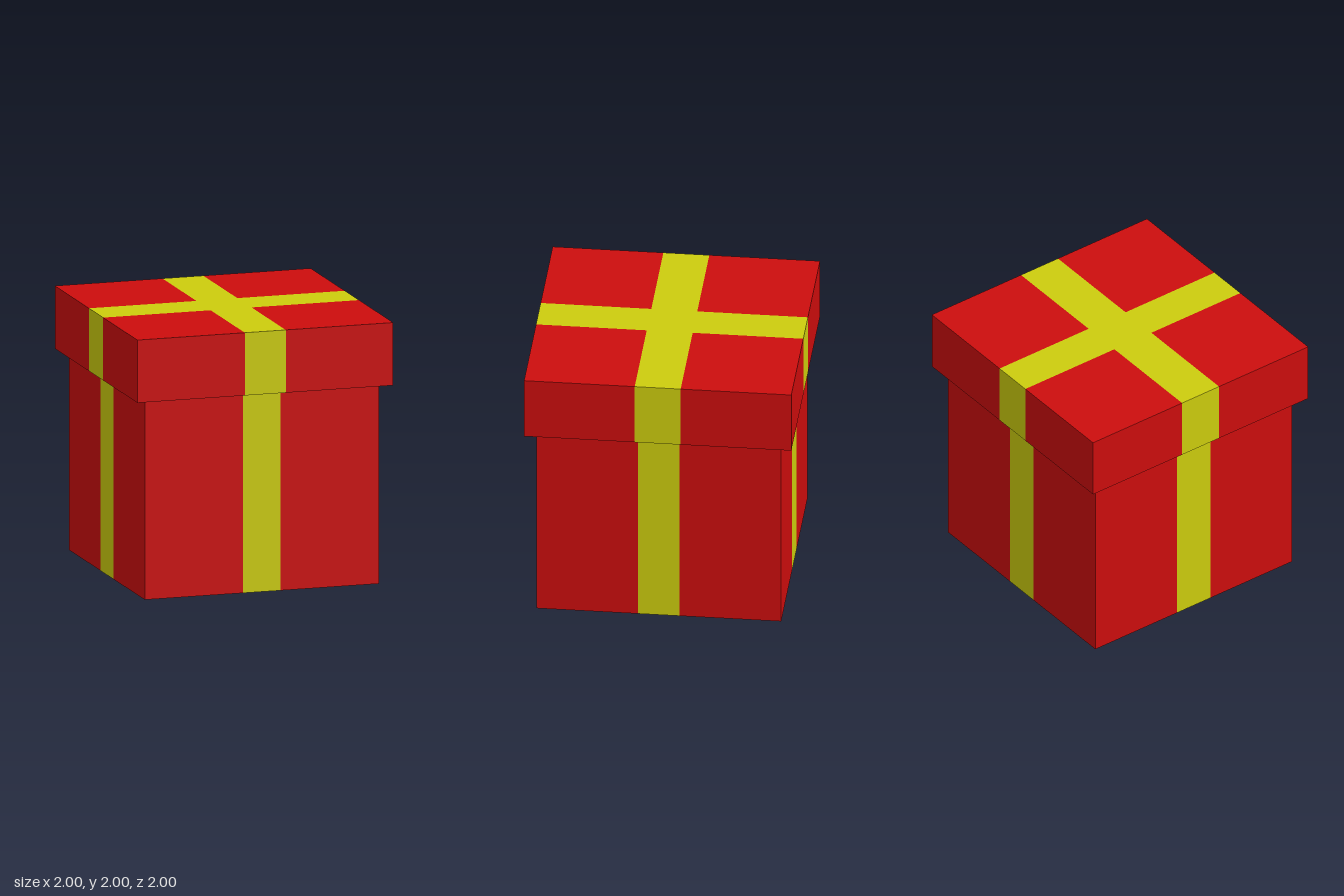
import * as THREE from 'three';

// Half size and half ribbon widths of each tier
const BOX = { half: 0.915, rx: 0.145, rz: 0.155 };
const LID = { half: 1, rx: 0.16, rz: 0.172 };
const RIM_Y = 1.522, TOP_Y = 2;

// Square outline, three points per side, so every middle segment is ribbon
function ring({ half: h, rx, rz }, y) {
  return [
    [-h, h], [-rx, h], [rx, h],
    [h, h], [h, rz], [h, -rz],
    [h, -h], [rx, -h], [-rx, -h],
    [-h, -h], [-h, -rz], [-h, rz],
  ].map(([x, z]) => [x, y, z]);
}

// Walls joining a lower outline to an upper one
function wall(lower, upper) {
  return lower.map((p, i) => {
    const n = (i + 1) % lower.length;
    return { ribbon: i % 3 === 1, corners: [p, lower[n], upper[n], upper[i]] };
  });
}

// Flat square face with a ribbon cross
function cap({ half: h, rx, rz }, y, up) {
  const xs = [-h, -rx, rx, h], zs = [-h, -rz, rz, h], faces = [];
  for (let i = 0; i < 3; i++) {
    for (let j = 0; j < 3; j++) {
      const corners = [
        [xs[i], y, zs[j + 1]], [xs[i + 1], y, zs[j + 1]],
        [xs[i + 1], y, zs[j]], [xs[i], y, zs[j]],
      ];
      if (!up) corners.reverse();
      faces.push({ ribbon: i === 1 || j === 1, corners });
    }
  }
  return faces;
}

function facesMesh(name, faces, material) {
  const positions = faces.flatMap(({ corners: [a, b, c, d] }) => [a, b, c, a, c, d].flat());
  const geometry = new THREE.BufferGeometry();
  geometry.setAttribute('position', new THREE.Float32BufferAttribute(positions, 3));
  geometry.computeVertexNormals();
  const mesh = new THREE.Mesh(geometry, material);
  mesh.name = name;
  return mesh;
}

export function createModel() {
  const paper = new THREE.MeshStandardMaterial({ color: 0xcc0d0d });
  paper.name = 'red paper';
  const ribbon = new THREE.MeshStandardMaterial({ color: 0xcccc0d });
  ribbon.name = 'yellow ribbon';

  const parts = {
    // Box: base and four sides
    box: [...cap(BOX, 0, false), ...wall(ring(BOX, 0), ring(BOX, RIM_Y))],
    // Lid: overhanging underside, four sides and top
    lid: [
      ...wall(ring(BOX, RIM_Y), ring(LID, RIM_Y)),
      ...wall(ring(LID, RIM_Y), ring(LID, TOP_Y)),
      ...cap(LID, TOP_Y, true),
    ],
  };

  const gift = new THREE.Group();
  gift.name = 'giftBox';
  for (const [name, faces] of Object.entries(parts)) {
    const part = new THREE.Group();
    part.name = name;
    part.add(
      facesMesh(name + 'Paper', faces.filter((f) => !f.ribbon), paper),
      facesMesh(name + 'Ribbon', faces.filter((f) => f.ribbon), ribbon),
    );
    gift.add(part);
  }
  return gift;
}
